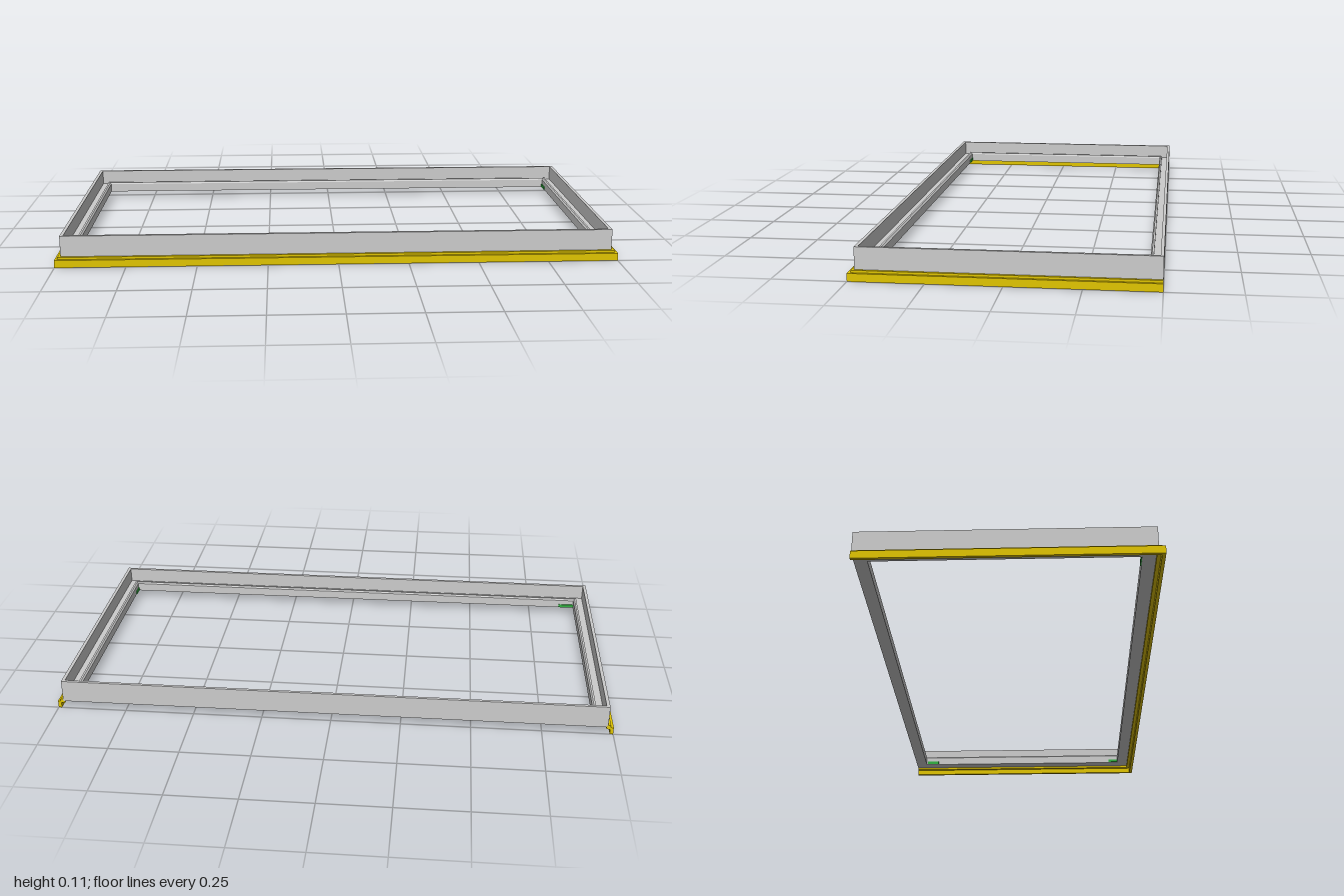
import * as THREE from 'three';

// Sweeps a counter-clockwise profile [inward, y] along mitred corners [x, z, inwardX, inwardZ].
function sweep(profile, corners, closed) {
  const pos = [];
  const at = ([x, z, dx, dz], [u, y]) => [x + dx * u, y, z + dz * u];
  const count = closed ? corners.length : corners.length - 1;
  for (let i = 0; i < count; i++) {
    const c = corners[i], d = corners[(i + 1) % corners.length];
    profile.forEach((a, k) => {
      const b = profile[(k + 1) % profile.length];
      pos.push(...at(c, a), ...at(c, b), ...at(d, a), ...at(c, b), ...at(d, b), ...at(d, a));
    });
  }
  if (!closed) {
    const faces = THREE.ShapeUtils.triangulateShape(profile.map(p => new THREE.Vector2(...p)), []);
    const last = corners[corners.length - 1];
    for (const [a, b, c] of faces) {
      for (const k of [c, b, a]) pos.push(...at(corners[0], profile[k]));
      for (const k of [a, b, c]) pos.push(...at(last, profile[k]));
    }
  }
  const g = new THREE.BufferGeometry();
  g.setAttribute('position', new THREE.Float32BufferAttribute(pos, 3));
  g.computeVertexNormals();
  return g;
}

export function createModel() {
  const group = new THREE.Group();
  const material = color => new THREE.MeshStandardMaterial({ color, flatShading: true });
  const add = (name, geometry, mat) => {
    const mesh = new THREE.Mesh(geometry, mat);
    mesh.name = name;
    group.add(mesh);
    return mesh;
  };
  const grey = material(0xcccccc), yellow = material(0xe0c400), green = material(0x30b040);

  // Four-sided frame: tall outer wall, recessed ledge and low inner lip
  add('frame', sweep(
    [[0, 0.028], [0.05, 0.028], [0.05, 0.06], [0.045, 0.066], [0.038, 0.066],
      [0.038, 0.055], [0.012, 0.055], [0.012, 0.11], [0, 0.11]],
    [[-0.98, -0.5, 1, 0.9], [-0.98, 0.48, 1, -1], [0.98, 0.48, -1, -1], [0.98, -0.5, -1, 0.9]],
    true), grey);

  // Stepped trim hanging below the front and both sides, open at the back
  add('trim', sweep(
    [[0, 0], [0.012, 0], [0.012, 0.02], [0.025, 0.02], [0.025, 0.035],
      [0.01, 0.035], [0.01, 0.027], [0, 0.027]],
    [[-1, -0.5, 1, 0], [-1, 0.5, 1, -1], [1, 0.5, -1, -1], [1, -0.5, -1, 0]],
    false), yellow);

  // Small clips at the corners of the opening
  const clips = [[0.928, -0.425, 0.004, 0.05], [0.928, 0.41, 0.004, 0.04], [-0.9, 0.428, 0.06, 0.004]];
  for (const [x, z, w, d] of clips) {
    add('cornerClip', new THREE.BoxGeometry(w, 0.012, d), green).position.set(x, 0.036, z);
  }
  return group;
}
